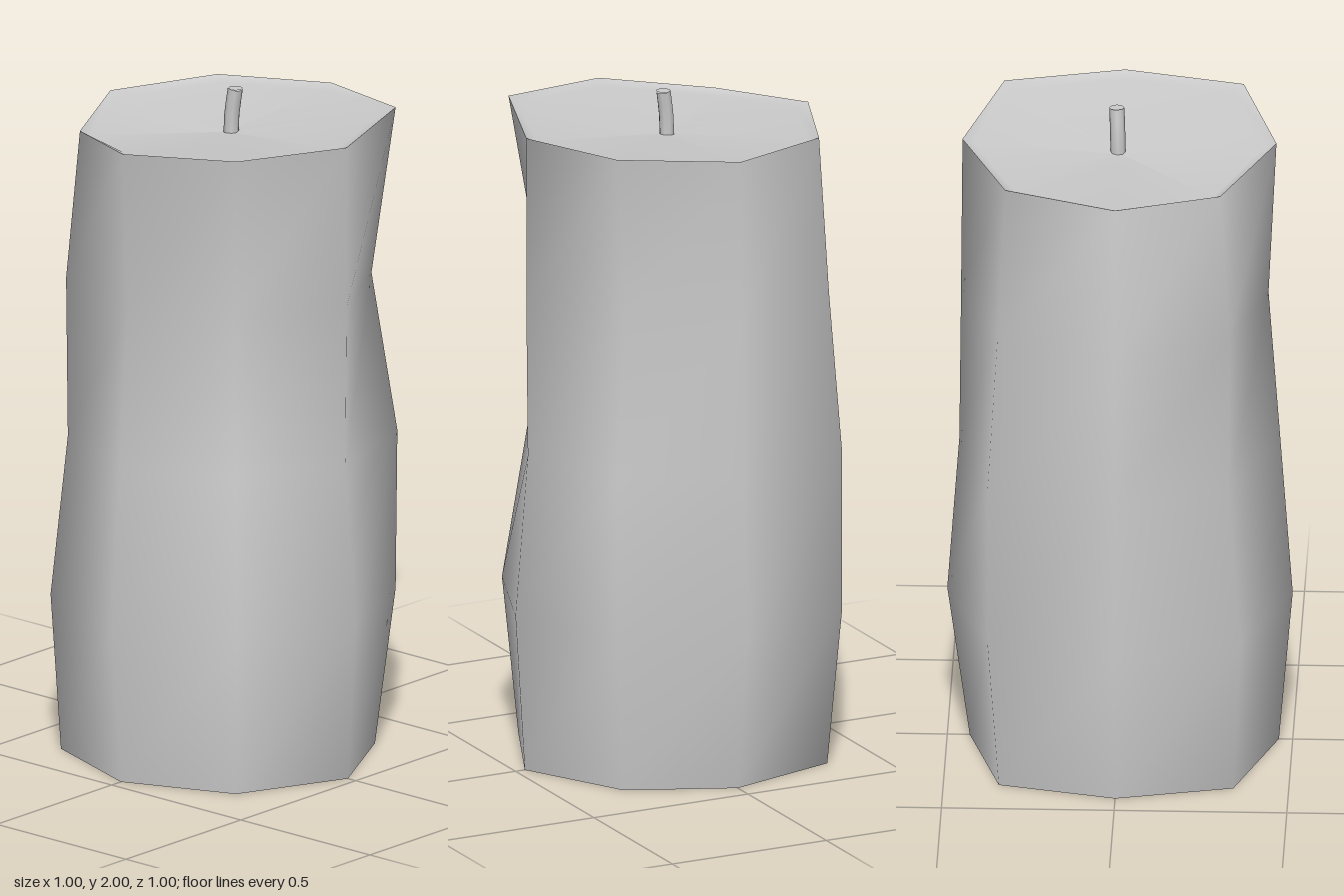
import * as THREE from 'three';

const SIDES = 8;
const mat = new THREE.MeshStandardMaterial({ color: 0xcccccc });

// Radii of each ring; corners run +x, front-right, +z, front-left, -x, back-left, -z, back-right
const LEVELS = [0, 0.47, 0.95, 1.43];
const RADII = [
  [0.47, 0.46, 0.46, 0.48, 0.42, 0.48, 0.435, 0.43],
  [0.5, 0.51, 0.5, 0.51, 0.495, 0.525, 0.5, 0.49],
  [0.46, 0.43, 0.465, 0.46, 0.465, 0.525, 0.465, 0.495],
  [0.465, 0.4, 0.43, 0.465, 0.5, 0.485, 0.46, 0.42],
];
const RIM_R = [0.465, 0.49, 0.453, 0.425, 0.45, 0.455, 0.456, 0.49];
const RIM_Y = [1.915, 1.93, 1.905, 1.875, 1.895, 1.895, 1.905, 1.93];

// Ring of corner points from radius and height functions
function ring(radius, height) {
  return Array.from({ length: SIDES }, (_, k) => {
    const a = (k / SIDES) * Math.PI * 2;
    return [Math.cos(a) * radius(k), height(k), Math.sin(a) * radius(k)];
  });
}

// Smooth skin over a stack of rings
function loft(name, rings) {
  const index = [];
  for (let i = 0; i < rings.length - 1; i++) {
    for (let k = 0; k < SIDES; k++) {
      const a = i * SIDES + k, b = i * SIDES + ((k + 1) % SIDES);
      index.push(a, a + SIDES, b, a + SIDES, b + SIDES, b);
    }
  }
  const geo = new THREE.BufferGeometry();
  geo.setAttribute('position', new THREE.Float32BufferAttribute(rings.flat(2), 3));
  geo.setIndex(index);
  geo.computeVertexNormals();
  const mesh = new THREE.Mesh(geo, mat);
  mesh.name = name;
  return mesh;
}

export function createModel() {
  const group = new THREE.Group();
  group.name = 'candle';

  const rings = LEVELS.map((y, i) => ring((k) => RADII[i][k], () => y));
  const rim = ring((k) => RIM_R[k], (k) => RIM_Y[k]);

  // Uneven wax body
  group.add(loft('waxBody', [...rings, rim]));

  // Flat underside
  group.add(loft('waxBase', [ring(() => 0.001, () => 0), rings[0]]));

  // Top surface: small lip, then a shallow hollow around the wick
  group.add(loft('waxTop', [
    rim,
    ring((k) => RIM_R[k] * 0.92, (k) => RIM_Y[k] - 0.015),
    ring(() => 0.001, () => 1.865),
  ]));

  // Slightly bent wick with a closed tip
  const path = new THREE.CatmullRomCurve3([
    new THREE.Vector3(0.012, 1.84, -0.006),
    new THREE.Vector3(0.014, 1.92, -0.007),
    new THREE.Vector3(0.025, 2.0, -0.01),
  ]);
  const wick = new THREE.Mesh(new THREE.TubeGeometry(path, 4, 0.022, SIDES), mat);
  wick.name = 'wick';
  const tip = new THREE.Mesh(new THREE.CircleGeometry(0.022, SIDES), mat);
  tip.name = 'wickTip';
  tip.rotation.x = -Math.PI / 2;
  tip.position.set(0.025, 2.0, -0.01);
  group.add(wick, tip);

  return group;
}
